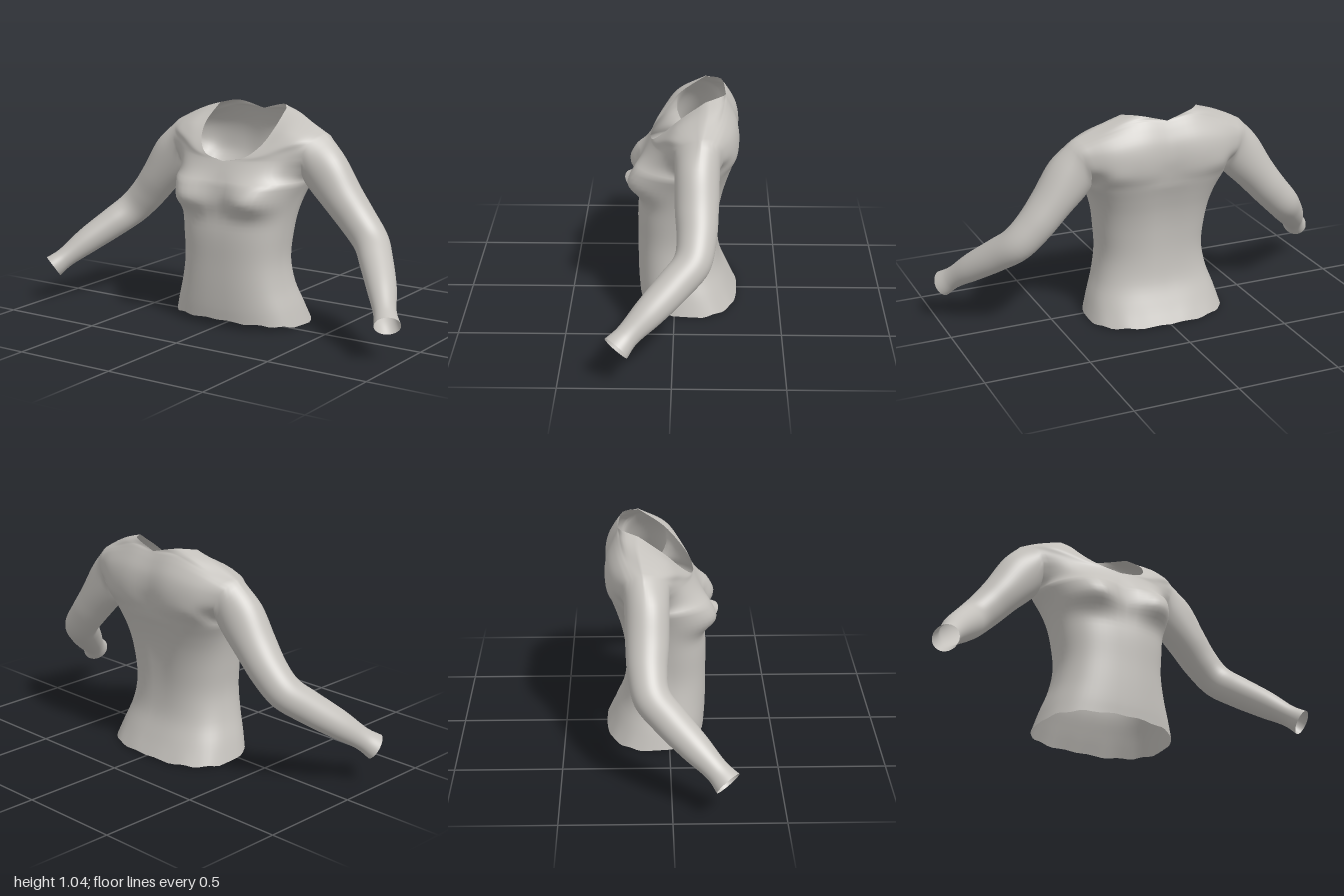
import * as THREE from 'three';
import { mergeGeometries, mergeVertices } from 'three/addons/utils/BufferGeometryUtils.js';

const COLS = 14; // samples from centre line to side
const STEPS = 4; // samples between neighbouring cross-sections
const V = (p) => new THREE.Vector3(...p);

// Half cross-section from centre (or neck edge) out to the armhole
function seamRow(points) {
  const half = points.map(V);
  const centred = points[0][0] === 0;
  const mirrored = half.slice(1).reverse().map((p) => new THREE.Vector3(-p.x, p.y, p.z));
  const curve = new THREE.CatmullRomCurve3(centred ? [...mirrored, ...half] : half);
  return Array.from({ length: COLS + 1 }, (_, i) => {
    const t = i / COLS;
    const p = curve.getPoint(centred ? 0.5 + t / 2 : t);
    if (centred && i === 0) p.x = 0;
    return p;
  });
}

// Half cross-section of the trunk, a quarter of a squarish oval
function trunkRow([y, w, zFront, zBack, zSide], front, hem) {
  return Array.from({ length: COLS + 1 }, (_, i) => {
    const a = (i / COLS) * Math.PI / 2;
    const s = Math.pow(Math.sin(a), 0.8);
    const c = i === COLS ? 0 : Math.pow(Math.cos(a), 0.8);
    const around = front ? a : Math.PI - a;
    const py = hem ? 0.008 + (front ? 0.03 * c : 0.004 * c) + 0.004 * Math.sin(13 * around) : y;
    return new THREE.Vector3(w * s, py, zSide + ((front ? zFront : zBack) - zSide) * c);
  });
}

// Smoothly fill in rows between the given cross-sections
function loft(rows, steps = STEPS) {
  const n = (rows.length - 1) * steps;
  const curves = rows[0].map((_, c) => new THREE.CatmullRomCurve3(rows.map((r) => r[c])));
  return Array.from({ length: n + 1 }, (_, j) => curves.map((k) => k.getPoint(j / n)));
}

// Join several lofts that share their border rows
const stack = (...blocks) => blocks.flatMap((rows, i) => (i ? loft(rows).slice(1) : loft(rows)));

function sheet(rows, flip, mirror) {
  const pos = [], index = [], w = rows[0].length;
  rows.forEach((r) => r.forEach((p) => pos.push(mirror ? -p.x : p.x, p.y, p.z)));
  for (let j = 0; j < rows.length - 1; j++) {
    for (let i = 0; i < w - 1; i++) {
      const a = j * w + i, b = a + 1, c = a + w + 1, d = a + w;
      if (flip !== mirror) index.push(a, c, b, a, d, c);
      else index.push(a, b, c, a, c, d);
    }
  }
  const g = new THREE.BufferGeometry();
  g.setAttribute('position', new THREE.Float32BufferAttribute(pos, 3));
  g.setIndex(index);
  return g;
}

// Trunk: height, half width, front z, back z, side z
const TRUNK = [
  [0.02, 0.34, 0.17, -0.3, -0.06], [0.1, 0.315, 0.175, -0.258, -0.04],
  [0.2, 0.282, 0.178, -0.218, -0.02], [0.32, 0.262, 0.178, -0.205, -0.01],
  [0.45, 0.272, 0.178, -0.213, -0.02], [0.55, 0.288, 0.168, -0.23, -0.04],
  [0.63, 0.31, 0.165, -0.252, -0.07], [0.7, 0.34, 0.16, -0.275, -0.1],
];
const SHOULDER = [[0.19, 1.035, -0.14], [0.27, 1.01, -0.14], [0.35, 0.975, -0.13], [0.425, 0.935, -0.12]];
const CHEST = [
  [[0, 0.75, 0.14], [0.13, 0.75, 0.125], [0.26, 0.75, 0.07], [0.345, 0.745, -0.03]],
  [[0, 0.8, 0.118], [0.13, 0.805, 0.102], [0.26, 0.81, 0.057], [0.355, 0.81, 0]],
];
const FRONT_YOKE = [
  [[0.11, 0.825, 0.1], [0.2, 0.84, 0.077], [0.29, 0.855, 0.035], [0.372, 0.865, -0.005]],
  [[0.17, 0.88, 0.05], [0.25, 0.89, 0.038], [0.33, 0.9, 0.01], [0.392, 0.9, -0.035]],
  [[0.195, 0.95, -0.02], [0.27, 0.945, -0.015], [0.34, 0.935, -0.035], [0.41, 0.922, -0.075]],
  SHOULDER,
];
const BACK = [
  [[0, 0.77, -0.287], [0.15, 0.77, -0.292], [0.28, 0.77, -0.265], [0.35, 0.75, -0.17]],
  [[0, 0.84, -0.294], [0.15, 0.85, -0.299], [0.28, 0.83, -0.275], [0.37, 0.81, -0.222]],
  [[0, 0.91, -0.285], [0.14, 0.92, -0.287], [0.28, 0.9, -0.265], [0.395, 0.87, -0.215]],
  [[0, 0.97, -0.26], [0.13, 0.98, -0.258], [0.28, 0.95, -0.236], [0.41, 0.9, -0.198]],
  [[0, 1.01, -0.238], [0.13, 1.015, -0.236], [0.28, 0.97, -0.215], [0.417, 0.917, -0.175]],
];
const BACK_YOKE = [
  [[0.13, 1.043, -0.215], [0.215, 1.015, -0.208], [0.31, 0.97, -0.188], [0.422, 0.928, -0.15]],
  SHOULDER,
];
// Sleeve: centre x, y, z, then radius across and radius front to back
const SLEEVE = [
  [0.43, 0.765, -0.105, 0.115, 0.102], [0.53, 0.64, -0.105, 0.097, 0.098],
  [0.61, 0.545, -0.105, 0.088, 0.09], [0.69, 0.46, -0.085, 0.082, 0.085],
  [0.76, 0.39, -0.01, 0.076, 0.08], [0.85, 0.3, 0.1, 0.065, 0.07],
  [0.92, 0.22, 0.195, 0.05, 0.055], [0.957, 0.18, 0.24, 0.056, 0.065],
];

function frontRows() {
  const trunk = TRUNK.map((r, i) => trunkRow(r, true, i === 0));
  const chest = CHEST.map(seamRow), yoke = FRONT_YOKE.map(seamRow);
  const rows = stack(trunk, [trunk.at(-1), ...chest], [chest.at(-1), ...yoke]);
  // Bust: rounded swell, tighter below than above
  rows.forEach((row) => row.forEach((p, i) => {
    const dx = (p.x - 0.185) / 0.125, dy = (p.y - 0.625) / (p.y < 0.625 ? 0.065 : 0.105);
    p.z += 0.08 * Math.exp(-dx * dx - dy * dy) * (1 - Math.pow(i / COLS, 6));
  }));
  return rows;
}

function backRows() {
  const trunk = TRUNK.map((r, i) => trunkRow(r, false, i === 0));
  const back = BACK.map(seamRow), yoke = BACK_YOKE.map(seamRow);
  const rows = stack(trunk, [trunk.at(-1), ...back], [back.at(-1), ...yoke]);
  // Shallow groove along the spine
  rows.forEach((row) => row.forEach((p, i) => {
    const dx = p.x / 0.07, dy = (p.y - 0.6) / 0.25;
    p.z += 0.015 * Math.exp(-dx * dx - dy * dy) * (1 - Math.pow(i / COLS, 6));
  }));
  return rows;
}

function sleeveRows(front, back) {
  // The armhole runs from the armpit up the front and down the back
  const start = (TRUNK.length - 1) * STEPS;
  const up = front.slice(start).map((r) => r[COLS]);
  const down = back.slice(start).map((r) => r[COLS]).reverse();
  const armhole = [...up, ...down.slice(1)];
  const nUp = up.length - 1, nDown = down.length - 1;
  const path = new THREE.CatmullRomCurve3(SLEEVE.map(V));
  const rings = SLEEVE.map(([x, y, z, ru, rw], k) => {
    const t = path.getTangent(k / (SLEEVE.length - 1));
    const w = new THREE.Vector3(0, 0, 1).addScaledVector(t, -t.z).normalize();
    const u = new THREE.Vector3().crossVectors(w, t);
    return armhole.map((_, i) => {
      const a = i === armhole.length - 1 ? 0
        : Math.PI * (i <= nUp ? i / nUp : 1 + (i - nUp) / nDown);
      return new THREE.Vector3(x, y, z)
        .addScaledVector(u, -Math.cos(a) * ru).addScaledVector(w, Math.sin(a) * rw);
    });
  });
  return loft([armhole, ...rings], 5);
}

export function createModel() {
  const group = new THREE.Group();
  group.name = 'longSleevedTop';
  const cloth = new THREE.MeshStandardMaterial({ color: 0xc4c1bc, side: THREE.DoubleSide });
  cloth.name = 'warm grey cloth';

  const front = frontRows(), back = backRows(), sleeve = sleeveRows(front, back);
  const pieces = [];
  for (const [side, mirror] of [['left', false], ['right', true]]) {
    pieces.push([side + 'Front', sheet(front, false, mirror)]);
    pieces.push([side + 'Back', sheet(back, true, mirror)]);
    pieces.push([side + 'Sleeve', sheet(sleeve, true, mirror)]);
  }

  // Weld all pieces so shading runs smoothly over the seams, then part them again
  const whole = mergeVertices(mergeGeometries(pieces.map((p) => p[1])), 1e-4);
  whole.computeVertexNormals();
  const all = whole.index.array;
  let offset = 0;
  for (const [name, g] of pieces) {
    const part = whole.clone();
    part.setIndex(Array.from(all.slice(offset, offset + g.index.count)));
    offset += g.index.count;
    const mesh = new THREE.Mesh(part.toNonIndexed(), cloth);
    mesh.name = name;
    group.add(mesh);
  }
  return group;
}
